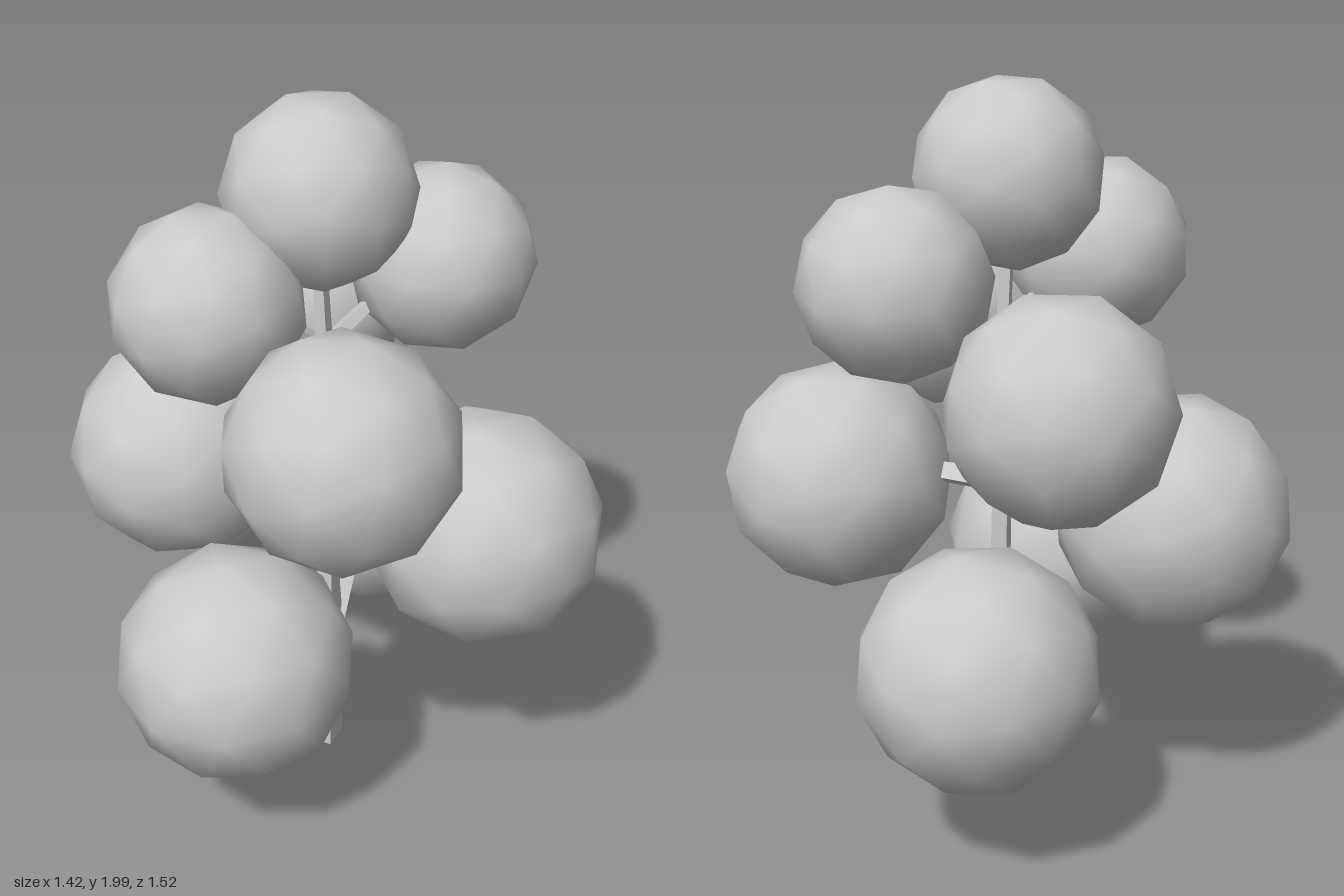
import * as THREE from 'three';

const grey = new THREE.MeshStandardMaterial({ color: 0xcccccc });
const flatGrey = new THREE.MeshStandardMaterial({ color: 0xcccccc, flatShading: true });
const UP = new THREE.Vector3(0, 1, 0);

// Tapered four-sided limb from a to b; start and end are [width, depth]
function limb(name, a, b, start, end, yaw = 0) {
  const from = new THREE.Vector3(...a);
  const dir = new THREE.Vector3(...b).sub(from);
  const geo = new THREE.BoxGeometry(1, 1, 1).translate(0, 0.5, 0);
  const p = geo.attributes.position;
  for (let i = 0; i < p.count; i++) {
    const [w, d] = p.getY(i) > 0.5 ? end : start;
    p.setXYZ(i, p.getX(i) * w, p.getY(i) * dir.length(), p.getZ(i) * d);
  }
  geo.rotateY(yaw);
  const mesh = new THREE.Mesh(geo, flatGrey);
  mesh.name = name;
  mesh.quaternion.setFromUnitVectors(UP, dir.normalize());
  mesh.position.copy(from);
  return mesh;
}

export function createModel() {
  const tree = new THREE.Group();
  tree.name = 'tree';

  // Trunk: a flat plank-like stem that narrows above each fork
  const yaw = 1.03;
  const trunk = new THREE.Group();
  trunk.name = 'trunk';
  const stem = [
    [0.0075, 0, -0.026, 0.082, 0.044],
    [0.0075, 0.42, -0.026, 0.082, 0.044],
    [0.005, 0.55, -0.03, 0.055, 0.044],
    [0, 0.92, -0.035, 0.05, 0.042],
    [-0.005, 1.24, -0.015, 0.04, 0.035],
    [-0.01, 1.36, -0.015, 0.036, 0.032],
    [-0.02, 1.58, -0.02, 0.03, 0.026],
  ];
  for (let i = 1; i < stem.length; i++) {
    const [a, b] = [stem[i - 1], stem[i]];
    trunk.add(limb('trunkSection', a.slice(0, 3), b.slice(0, 3), a.slice(3), b.slice(3), yaw));
  }
  tree.add(trunk);

  // Branches: start, end, start thickness, end thickness
  const branches = [
    [[0, 0.4, -0.015], [-0.08, 0.6, 0.11], 0.055, 0.035],
    [[0.015, 0.4, -0.04], [0.09, 0.6, -0.15], 0.055, 0.035],
    [[0, 0.92, -0.03], [0.15, 0.93, 0.07], 0.055, 0.045],
    [[0, 0.91, -0.035], [-0.17, 0.955, -0.115], 0.05, 0.04],
    [[-0.005, 1.23, -0.015], [-0.01, 1.225, 0.23], 0.04, 0.03],
    [[-0.005, 1.23, -0.015], [-0.01, 1.23, -0.24], 0.04, 0.03],
    [[-0.01, 1.32, -0.015], [-0.15, 1.45, 0.04], 0.034, 0.026],
    [[-0.01, 1.32, -0.015], [0.15, 1.45, -0.07], 0.034, 0.026],
  ];
  for (const [a, b, s, e] of branches) tree.add(limb('branch', a, b, [s, s], [e, e]));

  // Foliage balls: x, y, z, radius
  const balls = [
    [-0.02, 1.755, -0.02, 0.253],
    [-0.31, 1.515, 0.10, 0.253],
    [0.31, 1.515, -0.13, 0.253],
    [-0.01, 1.29, 0.465, 0.3],
    [-0.01, 1.26, -0.475, 0.295],
    [0.39, 0.895, 0.22, 0.32],
    [-0.39, 0.885, -0.285, 0.32],
    [-0.275, 0.578, 0.33, 0.32],
    [0.19, 0.58, -0.44, 0.32],
  ];
  balls.forEach(([x, y, z, r], i) => {
    const ball = new THREE.Mesh(new THREE.IcosahedronGeometry(r, 1), grey);
    ball.name = 'foliageBall';
    ball.position.set(x, y, z);
    ball.rotation.set(0.4 + i * 0.7, i * 1.3, i * 0.5);
    tree.add(ball);
  });

  return tree;
}
